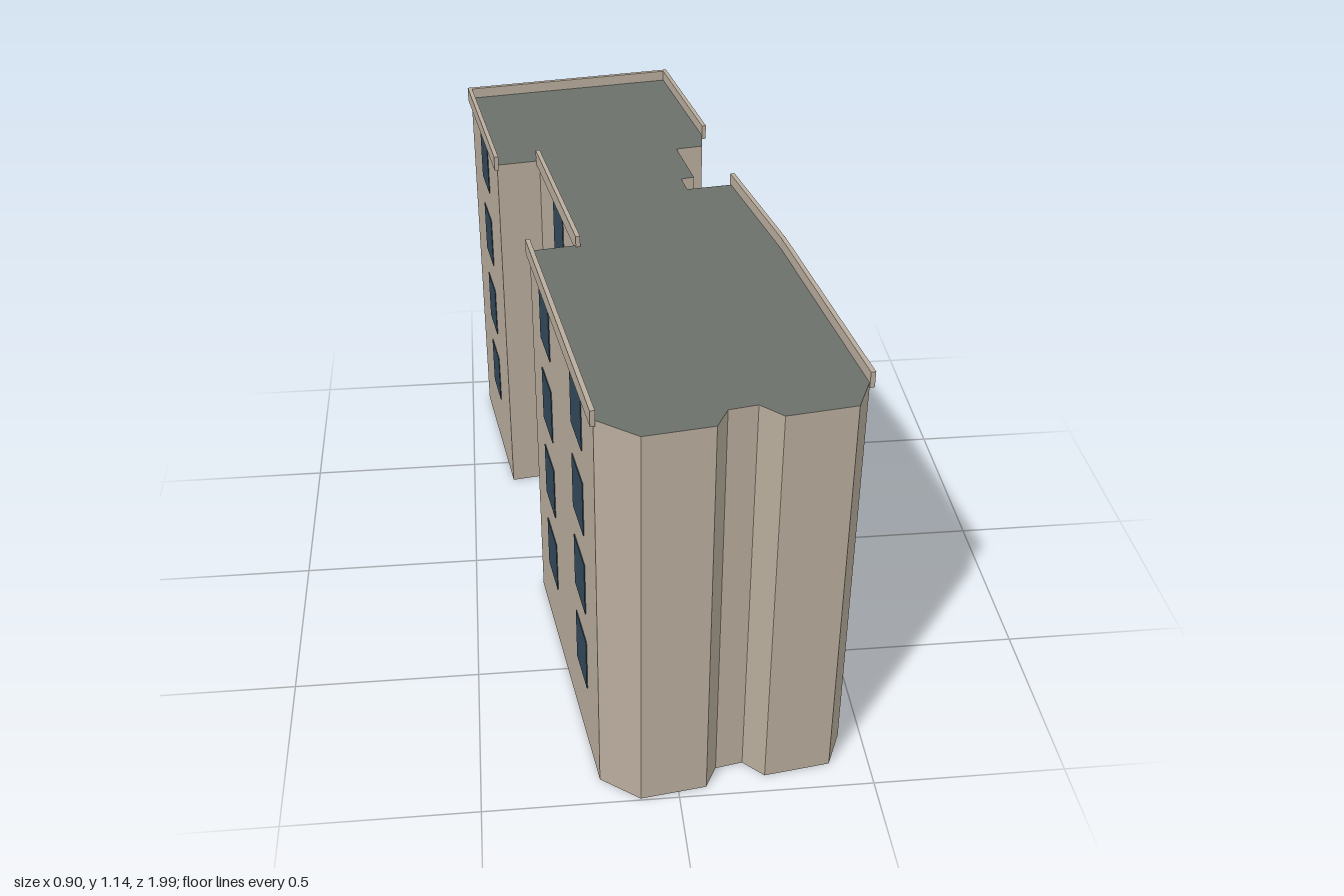
import * as THREE from 'three';

// Footprint corners [x, z], starting back left and running over the back, right, front and left sides
const OUTLINE = [
  [-0.443, -0.9], [0.168, -0.988], [0.235, -0.56], [0.225, -0.475], [0.148, -0.462],
  [0.175, -0.27], [0.138, -0.262], [0.147, -0.195], [0.275, -0.212], [0.35, 0.175],
  [0.441, 0.825], [0.398, 0.922], [0.226, 0.947], [0.175, 0.897], [0.104, 0.91],
  [0.072, 0.971], [-0.098, 0.995], [-0.196, 0.92], [-0.303, 0.125], [-0.175, 0.105],
  [-0.253, -0.42], [-0.375, -0.402],
];
const WALL_HEIGHT = 1.112;
const PARAPET = { bottom: 1.1, top: 1.142, thickness: 0.012, overhang: 0.009 };
const WINDOW = { width: 0.127, height: 0.156, rows: [0.268, 0.517, 0.763, 1.012] };

// Walls by outline edge: window positions along the edge, first window row, and whether a parapet tops it
const WALLS = [
  { name: 'backWall', edge: 0, columns: [0.25, 0.75], firstRow: 1 },
  { name: 'rightRearWall', edge: 1, columns: [0.5], firstRow: 1 },
  { name: 'rightMiddleWall', edge: 8, columns: [0.5], firstRow: 0 },
  { name: 'rightFrontWall', edge: 9, columns: [0.25, 0.76], firstRow: 0 },
  { name: 'leftFrontWall', edge: 17, columns: [0.25, 0.75], firstRow: 0 },
  { name: 'leftRecessWall', edge: 19, columns: [0.5], firstRow: 0 },
  { name: 'leftRearWall', edge: 21, columns: [0.5], firstRow: 0 },
];

const material = (color) => new THREE.MeshStandardMaterial({ color });

export function createModel() {
  const model = new THREE.Group();
  model.name = 'apartmentBlock';
  const wallMaterial = material(0xb8ac9c);
  const roofMaterial = material(0x6b706a);
  const windowMaterial = material(0x33495a);

  // Main body: extruded footprint with roof-coloured caps
  const shape = new THREE.Shape(OUTLINE.map(([x, z]) => new THREE.Vector2(x, -z)));
  const bodyGeometry = new THREE.ExtrudeGeometry(shape, { depth: WALL_HEIGHT, bevelEnabled: false });
  bodyGeometry.rotateX(-Math.PI / 2);
  const body = new THREE.Mesh(bodyGeometry, [roofMaterial, wallMaterial]);
  body.name = 'buildingBody';
  model.add(body);

  const windowGeometry = new THREE.BoxGeometry(WINDOW.width, WINDOW.height, 0.005);

  for (const { name, edge, columns, firstRow } of WALLS) {
    const [ax, az] = OUTLINE[edge];
    const [bx, bz] = OUTLINE[(edge + 1) % OUTLINE.length];
    const length = Math.hypot(bx - ax, bz - az);

    // Local frame: x runs along the wall, -z points outwards
    const wall = new THREE.Group();
    wall.name = name;
    wall.position.set(ax, 0, az);
    wall.rotation.y = -Math.atan2(bz - az, bx - ax);
    model.add(wall);

    // Parapet strip, slightly overhanging the wall and its ends
    const { bottom, top, thickness, overhang } = PARAPET;
    const parapet = new THREE.Mesh(
      new THREE.BoxGeometry(length + 2 * overhang, top - bottom, thickness), wallMaterial);
    parapet.name = 'parapet';
    parapet.position.set(length / 2, (top + bottom) / 2, thickness / 2 - overhang);
    wall.add(parapet);

    // Window grid
    for (const t of columns) {
      for (const y of WINDOW.rows.slice(firstRow)) {
        const pane = new THREE.Mesh(windowGeometry, windowMaterial);
        pane.name = 'window';
        pane.position.set(t * length, y, 0);
        wall.add(pane);
      }
    }
  }
  return model;
}
